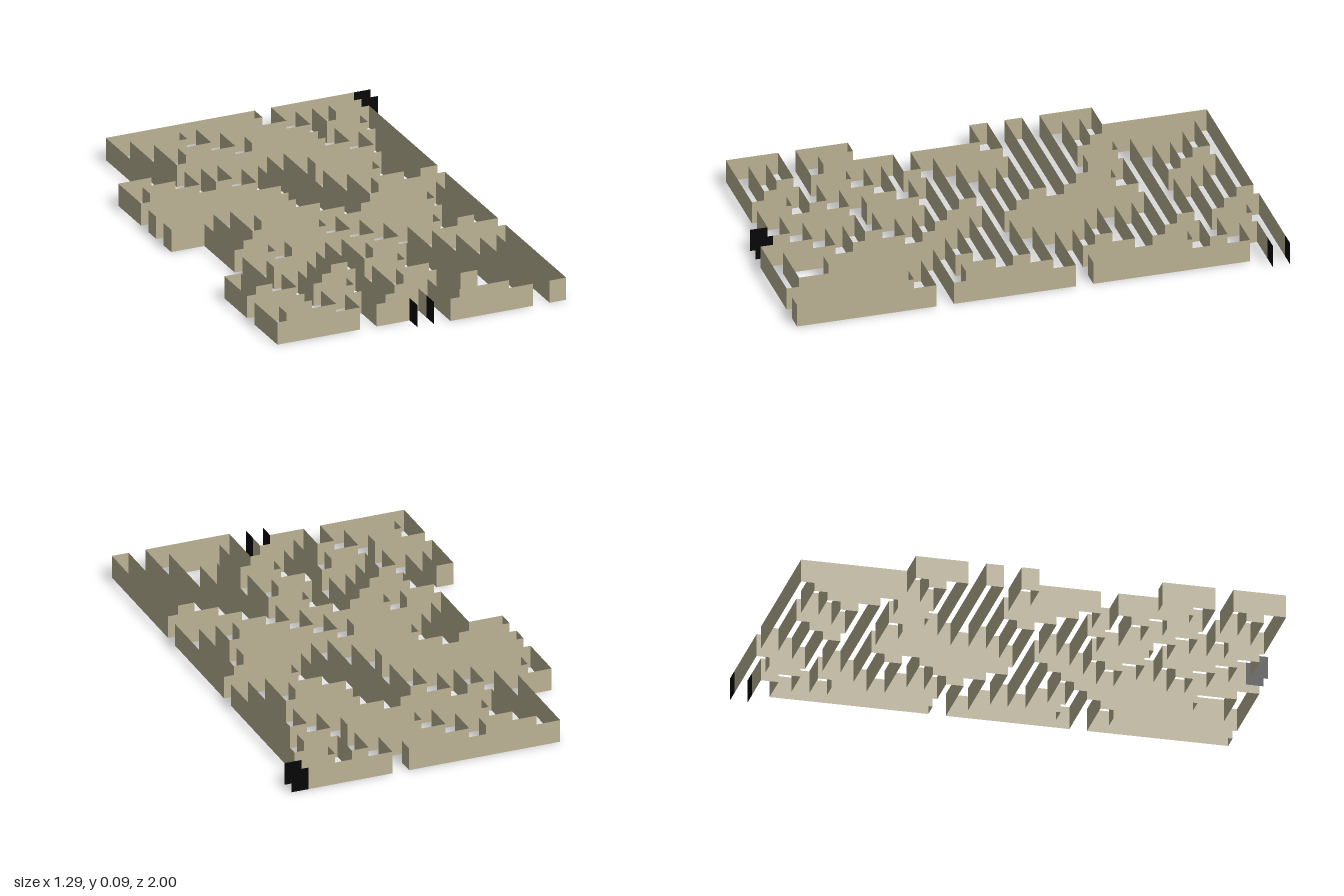
import * as THREE from 'three';
import { mergeGeometries } from 'three/addons/utils/BufferGeometryUtils.js';

const CELL = 1 / 14;
const HEIGHT = 0.095;

// Wall routes in grid cells: x, z, x, z ... each new value moves along one axis only
const WALLS = {
  westWall: [8, -14, 3, -12, -1, -10, -4, -11, -2, -13, 2, -14, -7, -8, -9, -5, -2, -7, -1, -4,
    -9, -3, -1, -2, -5, 1, -1, 2, -6, -2, -9, -1, -7, 3, -5, 4, -7, 8, -8, 6, -9, 9, -6, 7,
    -5, 9, -3, 10, -5, 12, -8, 11, -6, 10, -9, 13, -4, 11, -3, 13, -1],
  eastWall: [8, -13, 6, -12, 8, -3, 7, -9, 6, -7, 2, -6, 6, -3, 4, -2, 8, 5, 4, 11, 3, 4, 5, 3,
    2, 5, 0, 6, 2, 9, 0, 10, 2, 13, 5, 6, 8, 14, 7, 7, 6, 14, 1, 11, -1, 8, 1, 7, -1, 4, 1, 2,
    6, 4, 7, -1, 3, -4, 5, -5, 2, 0, 6, 1, 0, 3, -4, 4, -2, 7, -3, 5, -6, 6, -4, 8, -2, 12, 0, 13],
  islandWall: [-6, -13, -3, -12, -5, -9, 4, -10, 0, -11, 4, -13, 5, -11, 7, -10, 5, -8, 1, 0,
    -4, -1, 0, -8, -3, -6, -4, -8, -5, -6, -8, -7, -6, -13],
};

// Upright thin panel between two grid points
function panel(x0, z0, x1, z1) {
  const length = Math.hypot(x1 - x0, z1 - z0) * CELL;
  return new THREE.PlaneGeometry(length, HEIGHT)
    .rotateY(-Math.atan2(z1 - z0, x1 - x0))
    .translate((x0 + x1) / 2 * CELL, HEIGHT / 2, (z0 + z1) / 2 * CELL);
}

function wallGeometry(route) {
  const panels = [];
  let [x, z] = route;
  for (let i = 2; i < route.length; i++) {
    const nx = i % 2 === 0 ? route[i] : x;
    const nz = i % 2 === 1 ? route[i] : z;
    panels.push(panel(x, z, nx, nz));
    x = nx;
    z = nz;
  }
  return mergeGeometries(panels);
}

export function createModel() {
  const group = new THREE.Group();
  group.name = 'maze';
  const stone = new THREE.MeshStandardMaterial({ color: 0xbdb496, side: THREE.DoubleSide });
  const black = new THREE.MeshStandardMaterial({ color: 0x050505, side: THREE.DoubleSide });

  const add = (name, geometry, material) => {
    const mesh = new THREE.Mesh(geometry, material);
    mesh.name = name;
    group.add(mesh);
  };

  // Winding maze walls
  for (const [name, route] of Object.entries(WALLS)) add(name, wallGeometry(route), stone);

  // Dark panel pairs marking the two openings
  add('entrance', mergeGeometries([panel(-1, 13, -1, 14), panel(0, 13, 0, 14)]), black);
  add('exit', mergeGeometries([panel(8, -14, 9, -14), panel(8, -13, 9, -13)]), black);

  return group;
}
